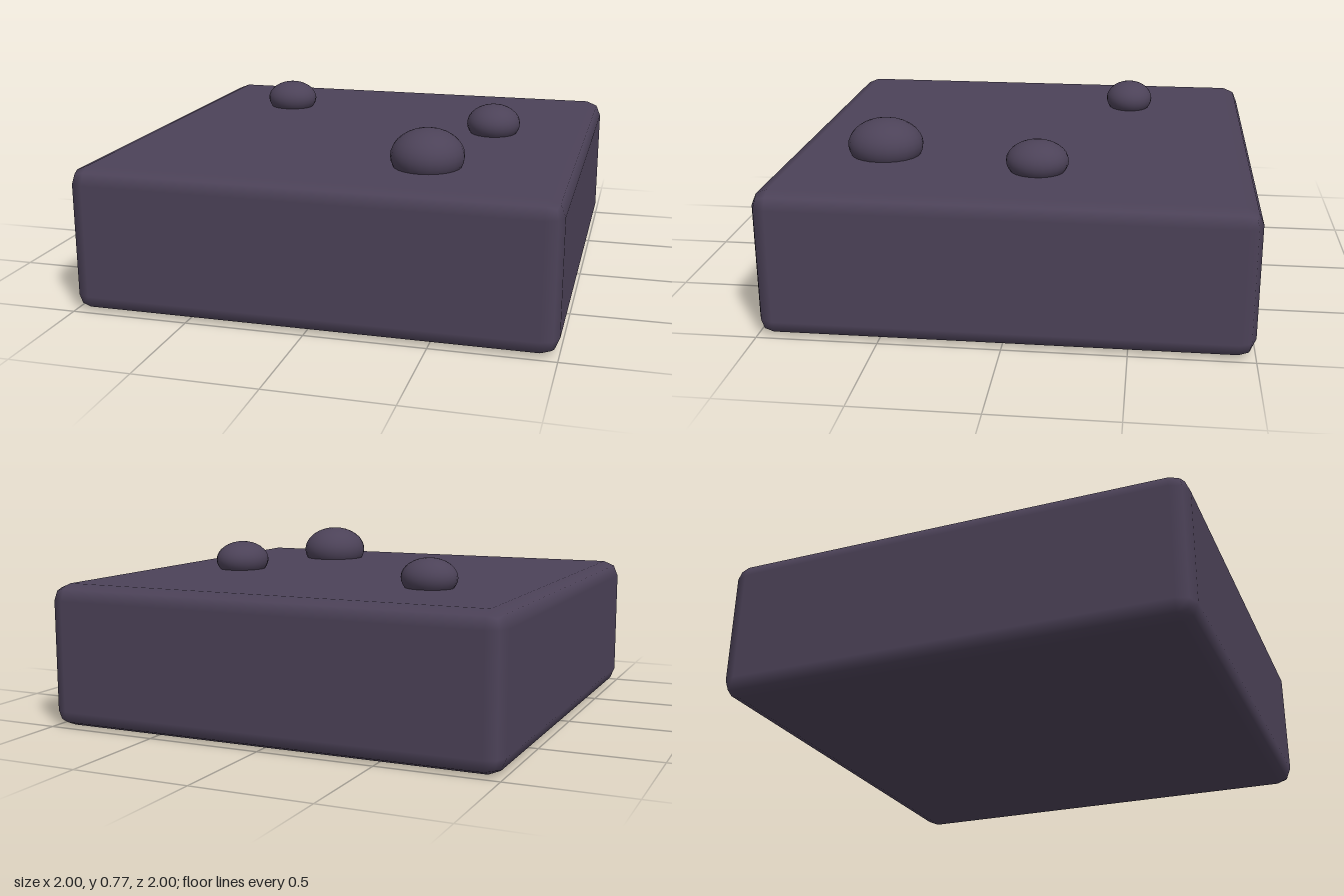
import * as THREE from 'three';
import { RoundedBoxGeometry } from 'three/addons/geometries/RoundedBoxGeometry.js';

export function createModel() {
  const model = new THREE.Group();
  model.name = 'stoneSlab';

  const stone = new THREE.MeshStandardMaterial({ color: 0x4c4258 });
  stone.name = 'dark purple stone';

  // Square slab with softly bevelled edges
  const height = 0.615;
  const slab = new THREE.Mesh(new RoundedBoxGeometry(2, height, 2, 1, 0.07), stone);
  slab.name = 'slab';
  slab.position.y = height / 2;
  model.add(slab);

  // Flattened pebbles half sunk into the top: x, z, then radii along x, y, z
  const pebbles = [
    ['smallPebble', -0.51, -0.445, 0.12, 0.082, 0.11],
    ['mediumPebble', 0.57, -0.1, 0.12, 0.086, 0.13],
    ['largePebble', 0.405, 0.575, 0.152, 0.112, 0.162],
  ];
  const ball = new THREE.SphereGeometry(1, 24, 16);
  for (const [name, x, z, rx, ry, rz] of pebbles) {
    const pebble = new THREE.Mesh(ball, stone);
    pebble.name = name;
    pebble.position.set(x, 0.657, z);
    pebble.scale.set(rx, ry, rz);
    model.add(pebble);
  }

  return model;
}
